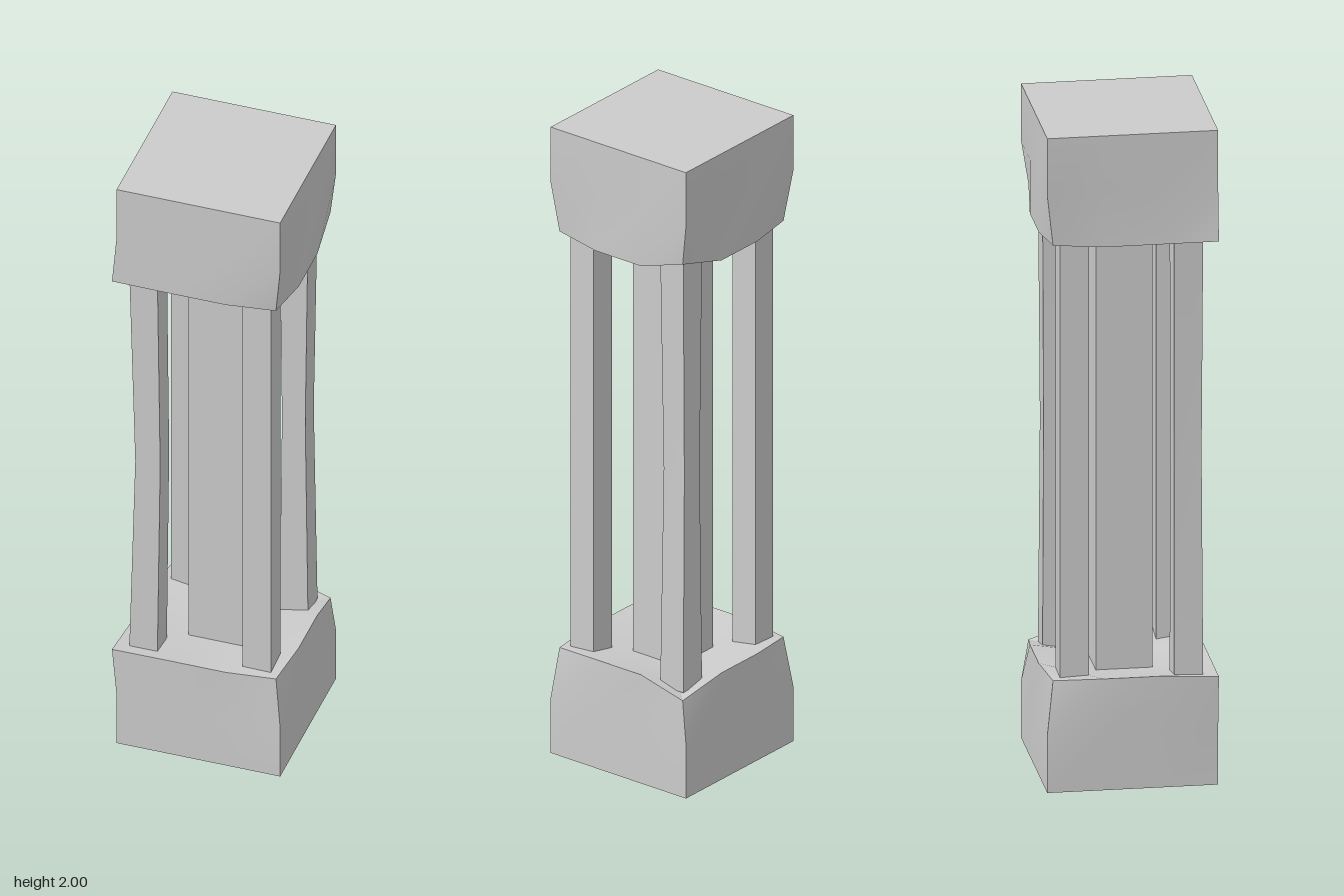
import * as THREE from 'three';
import { toCreasedNormals } from 'three/addons/utils/BufferGeometryUtils.js';

const material = new THREE.MeshStandardMaterial({ color: 0xcccccc });
const CX = 0.007; // the blocks sit slightly off the middle in x

// Warped inner-rim corners of a block, keyed by sign of x and z: [x, height, z]
const rimCorners = {
  '-1,1': [-0.257, 0.335, 0.25],
  '1,1': [0.238, 0.335, 0.232],
  '1,-1': [0.247, 0.303, -0.23],
  '-1,-1': [-0.222, 0.335, -0.23],
};

function finish(geometry, name) {
  const mesh = new THREE.Mesh(toCreasedNormals(geometry, Math.PI / 7), material);
  mesh.name = name;
  return mesh;
}

// Block whose inner rim is worn: warped corners, bowed edges, shallow recess
function makeBlock(name, isTop) {
  const g = new THREE.BoxGeometry(0.5, 2, 0.5, 3, 2, 3);
  const p = g.attributes.position;
  for (let i = 0; i < p.count; i++) {
    let x = p.getX(i), z = p.getZ(i);
    const level = isTop ? -p.getY(i) : p.getY(i);
    const edgeX = Math.abs(x) > 0.2, edgeZ = Math.abs(z) > 0.2;
    let h = level < -0.5 ? 0 : 0.175;
    let px = x + CX;
    if (level > 0.5) {
      if (edgeX && edgeZ) [px, h, z] = rimCorners[`${Math.sign(x)},${Math.sign(z)}`];
      else if (edgeX) h = x > 0 ? 0.347 : 0.34;
      else if (edgeZ) h = z > 0 ? 0.336 : 0.341;
      else h = 0.312;
    }
    p.setXYZ(i, px, isTop ? 2 - h : h, z);
  }
  return finish(g, name);
}

// Square post between two x and z ranges, with its own range at mid height
function makePost(name, end, mid = end) {
  const g = new THREE.BoxGeometry(1, 1.38, 1, 1, 2, 1);
  const p = g.attributes.position;
  for (let i = 0; i < p.count; i++) {
    const r = Math.abs(p.getY(i)) < 0.1 ? mid : end;
    p.setXYZ(i, p.getX(i) < 0 ? r[0] : r[1], p.getY(i) + 1, p.getZ(i) < 0 ? r[2] : r[3]);
  }
  return finish(g, name);
}

export function createModel() {
  const group = new THREE.Group();
  group.name = 'pillar';
  group.add(
    makeBlock('baseBlock', false),
    makeBlock('topBlock', true),
    makePost('centrePost', [-0.08, 0.085, -0.083, 0.083]),
    // Corner posts; two of them narrow or bow at mid height
    makePost('frontLeftPost', [0.128, 0.215, 0.125, 0.21]),
    makePost('frontRightPost', [-0.218, -0.132, 0.125, 0.21], [-0.2, -0.124, 0.128, 0.208]),
    makePost('backLeftPost', [0.128, 0.215, -0.207, -0.122], [0.134, 0.205, -0.203, -0.127]),
    makePost('backRightPost', [-0.203, -0.12, -0.207, -0.122]),
  );
  return group;
}
